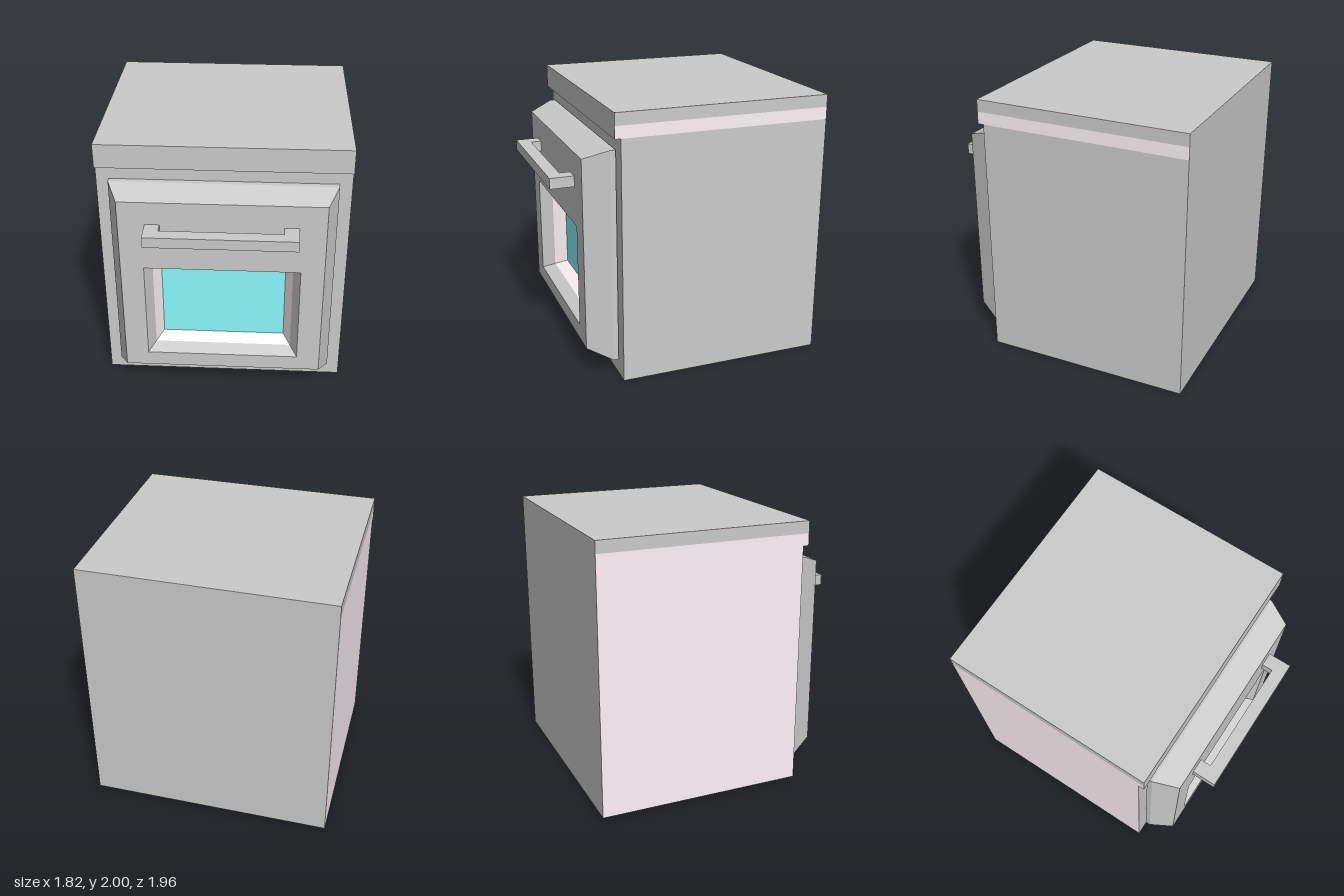
import * as THREE from 'three';

const mat = (color) => new THREE.MeshStandardMaterial({ color, flatShading: true });
const grey = mat(0xcccccc);
const pale = mat(0xfff4f9);
const glass = mat(0x8bfbfe);

// Box given by its min and max corners
function box(name, [x0, y0, z0], [x1, y1, z1], material = grey) {
  const mesh = new THREE.Mesh(new THREE.BoxGeometry(x1 - x0, y1 - y0, z1 - z0), material);
  mesh.name = name;
  mesh.position.set((x0 + x1) / 2, (y0 + y1) / 2, (z0 + z1) / 2);
  return mesh;
}

// Thin coloured panel lying on the left (+1) or right (-1) side
function sidePanel(name, side, y0, y1, z0, z1) {
  const mesh = new THREE.Mesh(new THREE.PlaneGeometry(z1 - z0, y1 - y0), pale);
  mesh.name = name;
  mesh.rotation.y = side * Math.PI / 2;
  mesh.position.set(side * 0.911, (y0 + y1) / 2, (z0 + z1) / 2);
  return mesh;
}

// Skin through rectangular rings [halfWidth, bottom, top, z], from the outside in
function rings(name, list, material = grey) {
  const corners = ([w, b, t, z]) => [[-w, b, z], [w, b, z], [w, t, z], [-w, t, z]];
  const pos = [];
  for (let i = 0; i < list.length - 1; i++) {
    const a = corners(list[i]), c = corners(list[i + 1]);
    for (let j = 0; j < 4; j++) {
      const k = (j + 1) % 4;
      pos.push(...a[j], ...a[k], ...c[k], ...a[j], ...c[k], ...c[j]);
    }
  }
  const geo = new THREE.BufferGeometry();
  geo.setAttribute('position', new THREE.Float32BufferAttribute(pos, 3));
  geo.computeVertexNormals();
  const mesh = new THREE.Mesh(geo, material);
  mesh.name = name;
  return mesh;
}

export function createModel() {
  const model = new THREE.Group();
  model.name = 'oven';

  // Cabinet and overhanging worktop
  model.add(box('body', [-0.91, 0, -0.98], [0.91, 1.82, 0.572]));
  model.add(box('worktop', [-0.91, 1.82, -0.98], [0.91, 2, 0.615]));
  for (const side of [-1, 1]) {
    model.add(sidePanel('worktopTrim', side, 1.82, 1.91, -0.98, 0.615));
  }
  model.add(sidePanel('bodySidePanel', -1, 0, 1.82, -0.98, 0.572));

  // Door: bevelled shell around a funnel-shaped window opening
  const door = new THREE.Group();
  door.name = 'door';
  const windowOuter = [0.567, 0.335, 1.11, 0.8];
  const windowMiddle = [0.515, 0.373, 1.075, 0.705];
  const windowInner = [0.462, 0.41, 1.04, 0.61];
  door.add(rings('doorShell', [
    [0, 0.9, 0.9, 0.58],
    [0.817, 0.13, 1.72, 0.58],
    [0.817, 0.13, 1.72, 0.62],
    [0.737, 0.218, 1.655, 0.8],
    windowOuter,
    windowMiddle,
  ]));
  door.add(rings('windowFrame', [windowMiddle, windowInner], pale));
  door.add(box('windowGlass', [-0.462, 0.41, 0.6], [0.462, 1.04, 0.61], glass));

  // Handle: a bar on two stubs
  const handle = new THREE.Group();
  handle.name = 'handle';
  handle.add(box('handleBar', [-0.543, 1.4, 0.88], [0.543, 1.48, 0.978]));
  for (const s of [-1, 1]) {
    handle.add(box('handleStub', [s * 0.49 - 0.053, 1.4, 0.8], [s * 0.49 + 0.053, 1.48, 0.88]));
  }
  door.add(handle);
  model.add(door);
  return model;
}
